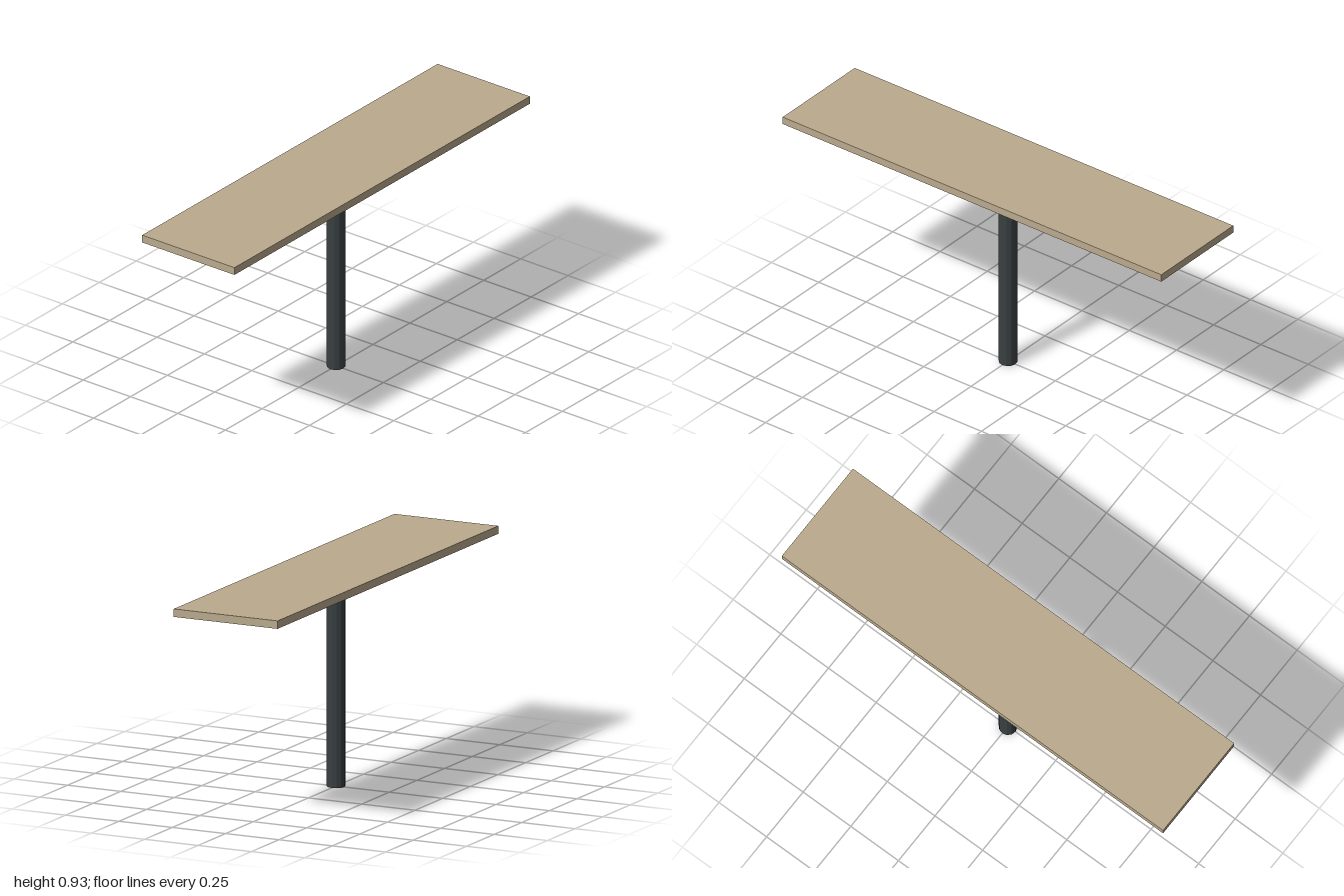
import * as THREE from 'three';

export function createModel() {
  const model = new THREE.Group();
  model.name = 'pedestalTable';

  const wood = new THREE.MeshStandardMaterial({ color: 0xbbab8e });
  wood.name = 'pale wood';
  const metal = new THREE.MeshStandardMaterial({ color: 0x394041, flatShading: true });
  metal.name = 'dark metal';

  const postHeight = 0.9;
  const topThickness = 0.034;

  // Central post, standing on the ground
  const post = new THREE.Mesh(new THREE.CylinderGeometry(0.039, 0.039, postHeight, 12), metal);
  post.name = 'post';
  post.position.y = postHeight / 2;

  // Long flat top resting on the post
  const top = new THREE.Mesh(new THREE.BoxGeometry(2, topThickness, 0.487), wood);
  top.name = 'tableTop';
  top.position.y = postHeight + topThickness / 2;

  model.add(post, top);
  return model;
}
